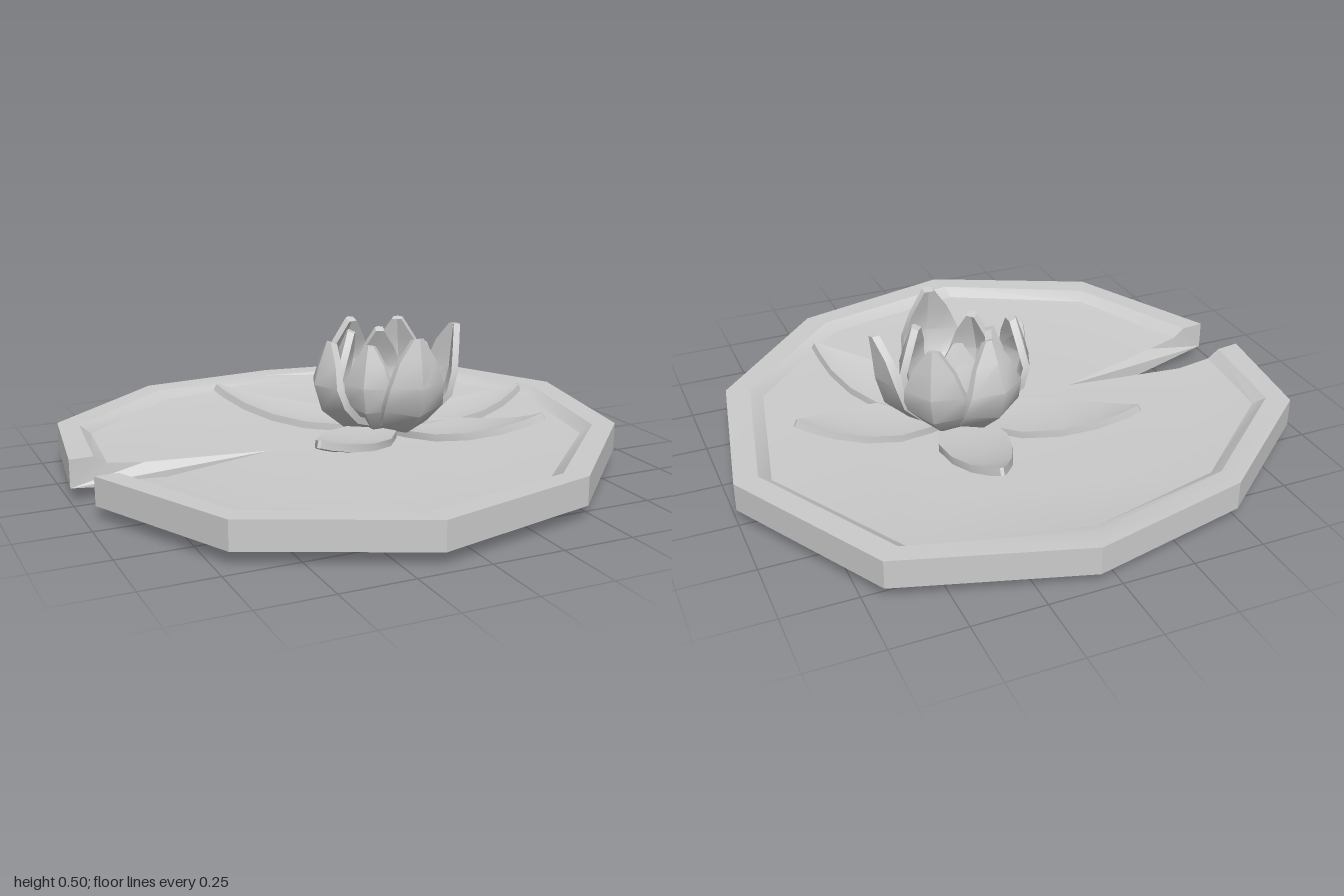
import * as THREE from 'three';
import { toCreasedNormals } from 'three/addons/utils/BufferGeometryUtils.js';

const V = (x, y, z) => new THREE.Vector3(x, y, z);

// Skin a row of closed cross-sections and cap both ends
function loft(sections, crease) {
  const pos = [];
  const tri = (a, b, c) => {
    const area = b.clone().sub(a).cross(c.clone().sub(a)).length();
    if (area > 1e-7) for (const p of [a, b, c]) pos.push(p.x, p.y, p.z);
  };
  const n = sections[0].length;
  for (let i = 0; i < sections.length - 1; i++) {
    const s = sections[i], t = sections[i + 1];
    for (let j = 0; j < n; j++) {
      const k = (j + 1) % n;
      tri(s[j], s[k], t[k]);
      tri(s[j], t[k], t[j]);
    }
  }
  const first = sections[0], last = sections[sections.length - 1];
  for (let j = 1; j < n - 1; j++) {
    tri(first[0], first[j + 1], first[j]);
    tri(last[0], last[j], last[j + 1]);
  }
  const g = new THREE.BufferGeometry();
  g.setAttribute('position', new THREE.Float32BufferAttribute(pos, 3));
  return toCreasedNormals(g, crease);
}

// Notched pad: one radial section per outline corner, all meeting at the notch
function padGeometry() {
  const outline = [
    [-1, -0.04], [-0.94, -0.485], [-0.49, -0.86], [0.06, -0.97], [0.69, -0.8], [1, -0.235],
    [0.89, 0.37], [0.46, 0.82], [-0.14, 0.97], [-0.71, 0.7], [-0.965, 0.16],
  ];
  const ax = -0.3;
  const sections = outline.map(([x, z], i) => {
    const dx = x - ax, d = Math.hypot(dx, z);
    const drop = i === 3 ? -0.018 : 0;
    // the notch edges bow outwards a little
    const bow = i === 0 ? -0.028 : i === outline.length - 1 ? 0.028 : 0;
    const at = (f, y, b = 0) => V(ax + dx * f, y, z * f + b);
    return [
      at(1, 0.05 + drop), at(1, 0.15 + drop), at(1 - 0.085 / d, 0.148 + drop, bow * 0.5),
      at(1 - 0.13 / d, 0.118, bow * 0.7), at(0.63, 0.103, bow),
      V(ax, 0.1, 0), V(ax, 0, 0),
    ];
  });
  return loft(sections, 0.42);
}

// Petal: stations of [radius, height, half width], cupped towards its inner face
function petalGeometry(stations, thickness, cup) {
  const sections = stations.map(([r, y, w], i) => {
    const p = stations[Math.max(i - 1, 0)];
    const q = stations[Math.min(i + 1, stations.length - 1)];
    const t = new THREE.Vector2(q[0] - p[0], q[1] - p[1]).normalize();
    const h = thickness / 2;
    const at = (n, s) => {
      const k = n + cup * Math.abs(s);
      return V(r - t.y * k, y + t.x * k, s);
    };
    return [at(h, -w), at(h, 0), at(h, w), at(-h, w), at(-h, 0), at(-h, -w)];
  });
  return loft(sections, 0.75);
}

export function createModel() {
  const model = new THREE.Group();
  const material = new THREE.MeshStandardMaterial({ color: 0xcccccc });
  const add = (parent, name, geometry) => {
    const mesh = new THREE.Mesh(geometry, material);
    mesh.name = name;
    parent.add(mesh);
    return mesh;
  };
  add(model, 'lilyPad', padGeometry());

  const flower = new THREE.Group();
  flower.name = 'flower';
  flower.position.set(0.17, 0, -0.05);
  model.add(flower);

  // Five spreading petals, given by tip position and tip height
  const tips = [
    [0.23, -0.61, 0.225], [-0.35, -0.44, 0.23], [-0.26, 0.33, 0.21],
    [0.54, 0.43, 0.235], [0.74, -0.04, 0.205],
  ];
  for (const [x, z, top] of tips) {
    const dx = x - 0.17, dz = z + 0.05, len = Math.hypot(dx, dz), rise = top - 0.115;
    const stations = [
      [0, 0, 0.04], [0.2, 0.03, 0.09], [0.42, 0.1, 0.12], [0.62, 0.26, 0.105],
      [0.8, 0.52, 0.07], [0.93, 0.8, 0.03], [1, 1, 0.006],
    ].map(([r, y, w]) => [r * len, 0.115 + y * rise, w]);
    add(flower, 'spreadingPetal', petalGeometry(stations, 0.026, 0.1)).rotation.y = -Math.atan2(dz, dx);
  }

  // Upright cupped petals: [angle in degrees, belly radius, tip radius, tip height]
  const upright = (name, list, width) => {
    for (const [deg, belly, tip, top] of list) {
      const h = top - 0.12;
      const stations = [
        [0.03, 0.12, 0.05], [belly * 0.6, 0.12 + h * 0.08, 0.09],
        [belly * 0.9, 0.12 + h * 0.28, 0.115], [belly, 0.12 + h * 0.55, 0.105],
        [(belly + tip) / 2, 0.12 + h * 0.8, 0.07], [tip, top, 0.018],
      ].map(([r, y, w]) => [r, y, w * width]);
      add(flower, name, petalGeometry(stations, 0.026, 0.4)).rotation.y = -THREE.MathUtils.degToRad(deg);
    }
  };
  upright('outerPetal', [
    [90, 0.28, 0.25, 0.495], [3, 0.27, 0.285, 0.48], [-52, 0.26, 0.23, 0.48],
    [-105, 0.27, 0.2, 0.49], [180, 0.27, 0.22, 0.455],
  ], 1);
  upright('innerPetal', [
    [40, 0.19, 0.14, 0.44], [140, 0.18, 0.14, 0.45],
    [215, 0.19, 0.13, 0.47], [-75, 0.18, 0.12, 0.46],
  ], 0.85);

  return model;
}
